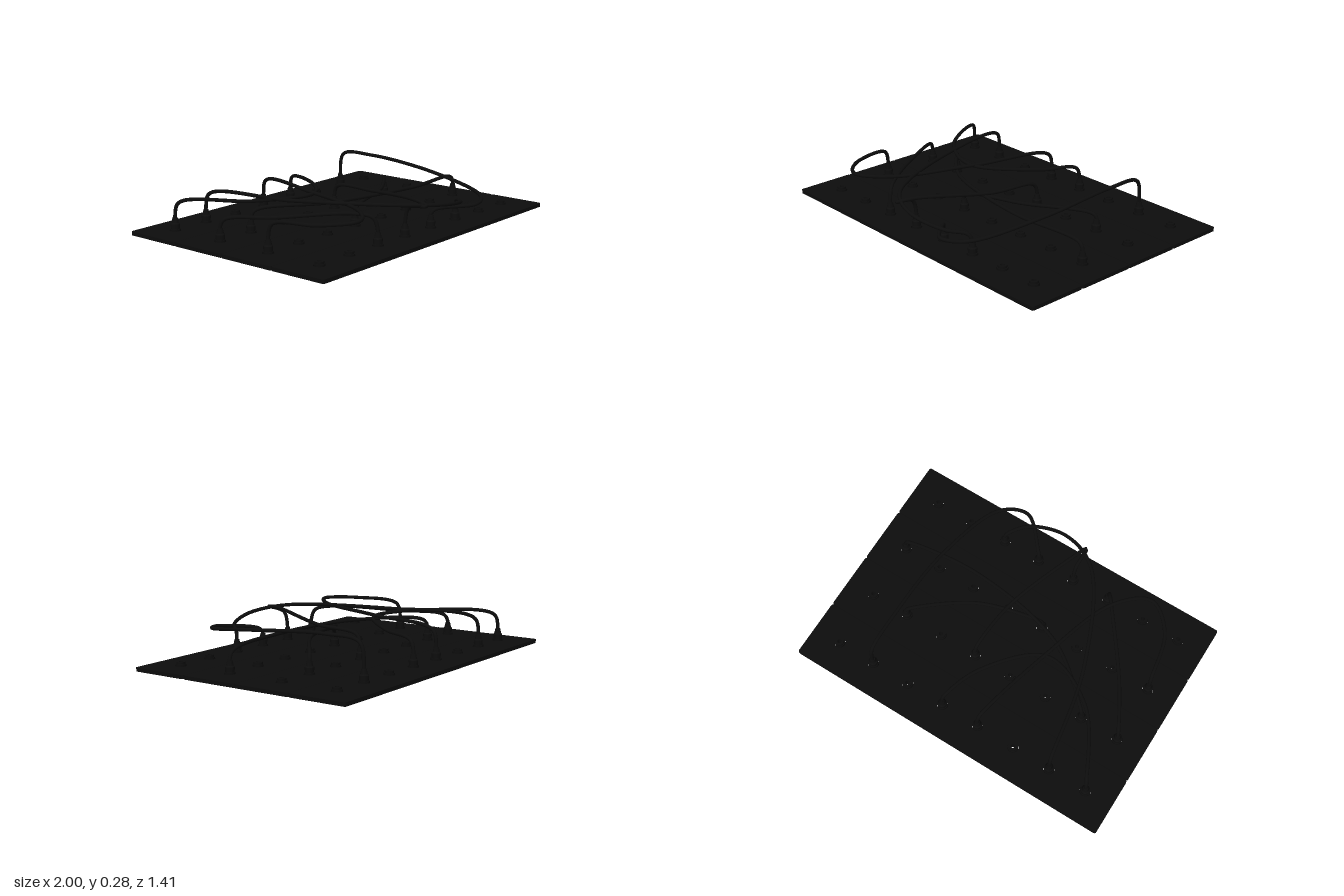
import * as THREE from 'three';

const black = new THREE.MeshStandardMaterial({ color: 0x0d0d0d });
const columns = Array.from({ length: 8 }, (_, i) => -0.83 + i * 0.2365);
const rows = Array.from({ length: 4 }, (_, i) => -0.53 + i * 0.35);

function add(parent, name, geometry, x = 0, y = 0, z = 0) {
  const mesh = new THREE.Mesh(geometry, black);
  mesh.name = name;
  mesh.position.set(x, y, z);
  parent.add(mesh);
}

// Revolved profile; inner points are doubled so that the edges stay sharp
function lathe(points) {
  const profile = points.flatMap(([r, y], i) => {
    const p = new THREE.Vector2(r, y);
    return i > 0 && i < points.length - 1 ? [p, p.clone()] : [p];
  });
  return new THREE.LatheGeometry(profile, 24);
}

// One panel strip with rounded corners and a row of socket holes
function stripGeometry() {
  const w = 1, h = 0.174, r = 0.012, q = Math.PI / 2;
  const shape = new THREE.Shape();
  [[1, 1], [-1, 1], [-1, -1], [1, -1]].forEach(([sx, sy], i) =>
    shape.absarc(sx * (w - r), sy * (h - r), r, i * q, (i + 1) * q));
  for (const x of columns) {
    const hole = new THREE.Path();
    hole.absarc(x, 0, 0.032, 0, Math.PI * 2, true);
    shape.holes.push(hole);
  }
  return new THREE.ExtrudeGeometry(shape, { depth: 0.022, bevelEnabled: false, curveSegments: 12 })
    .rotateX(-Math.PI / 2);
}

// Cables: column and row of both ends, and the few points they sweep past
const cables = [
  { from: [0, 0], to: [4, 0], via: [[-0.6, 0.222, -0.16], [-0.27, 0.22, -0.02], [0.02, 0.205, -0.29]] },
  { from: [3, 0], to: [0, 2], via: [[-0.25, 0.225, -0.03], [-0.42, 0.23, 0.44], [-0.6, 0.23, 0.58], [-0.76, 0.222, 0.45]] },
  { from: [1, 0], to: [5, 3], via: [[-0.48, 0.23, 0.02], [-0.2, 0.238, 0.57], [0.03, 0.215, 0.675], [0.25, 0.18, 0.625]] },
  { from: [6, 0], to: [4, 3], via: [[0.59, 0.27, -0.28], [0.57, 0.235, 0.2], [0.45, 0.183, 0.62], [0.3, 0.168, 0.693]] },
  { from: [0, 1], to: [2, 3], via: [[-0.68, 0.185, 0.08], [-0.43, 0.213, 0.42]] },
  { from: [6, 1], to: [3, 2], via: [[0.25, 0.168, 0.06]] },
  { from: [1, 1], to: [7, 2], via: [[-0.25, 0.187, 0.09], [0.35, 0.182, 0.21]] },
  { from: [4, 1], to: [3, 3], via: [[0.08, 0.2, 0.14], [-0.075, 0.24, 0.56], [-0.118, 0.23, 0.66]] },
];

// Each end leaves its plug upright, then bends over toward the next point
function cableEnd([column, row], target) {
  const base = new THREE.Vector3(columns[column], 0.085, rows[row]);
  const lean = target.clone().sub(base).setY(0).setLength(0.025);
  const upright = base.clone().setY(0.12);
  const shoulder = base.clone().add(lean).setY(target.y - 0.022);
  return [base, upright, shoulder];
}

export function createModel() {
  const group = new THREE.Group();

  const strip = stripGeometry();
  rows.forEach(z => add(group, 'panelStrip', strip, 0, 0.019, z));

  // Sockets: open sleeves with a stepped collar
  const socket = lathe([[0.012, 0], [0.03, 0], [0.03, 0.052], [0.025, 0.052], [0.025, 0.065], [0.012, 0.065], [0.012, 0]]);
  const sockets = new THREE.Group();
  sockets.name = 'sockets';
  for (const z of rows) for (const x of columns) add(sockets, 'socket', socket, x, 0, z);
  group.add(sockets);

  // Patch cables with a plug at each end
  const plug = lathe([[0, 0.01], [0.0118, 0.01], [0.0118, 0.065], [0.026, 0.065], [0.026, 0.08],
    [0.02, 0.087], [0.014, 0.115], [0, 0.115]]);
  for (const { from, to, via } of cables) {
    const cable = new THREE.Group();
    cable.name = 'patchCable';
    const sweep = via.map(p => new THREE.Vector3(...p));
    const start = cableEnd(from, sweep[0]);
    const end = cableEnd(to, sweep[sweep.length - 1]).reverse();
    for (const [column, row] of [from, to]) add(cable, 'plug', plug, columns[column], 0, rows[row]);
    const path = new THREE.CatmullRomCurve3([...start, ...sweep, ...end]);
    add(cable, 'cord', new THREE.TubeGeometry(path, 140, 0.0105, 12));
    group.add(cable);
  }
  return group;
}
